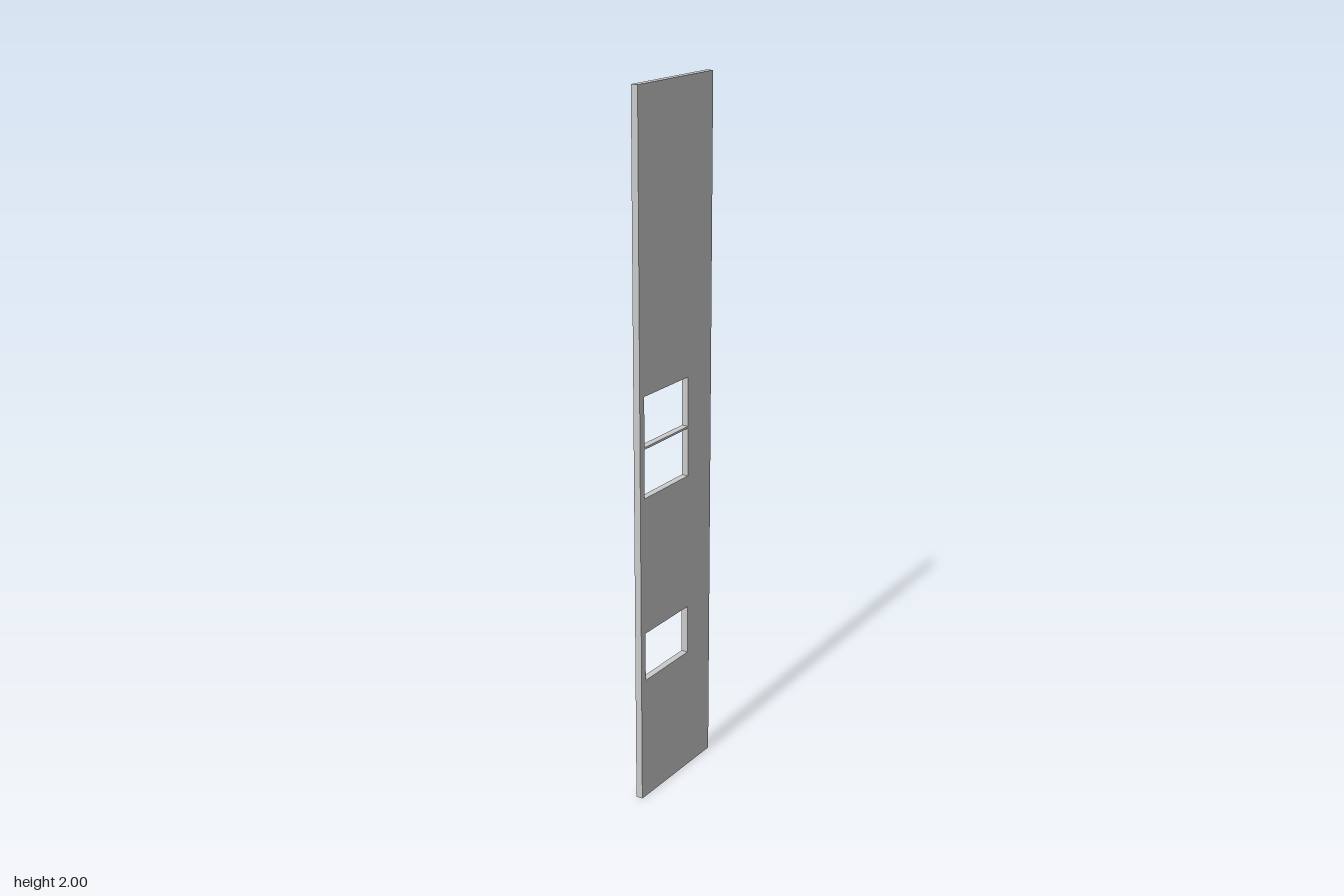
import * as THREE from 'three';

const HALF_WIDTH = 0.176, HEIGHT = 2, THICKNESS = 0.02;

// Adds a closed rectangle to a shape or path
function rect(path, x0, y0, x1, y1) {
  path.moveTo(x0, y0);
  path.lineTo(x1, y0);
  path.lineTo(x1, y1);
  path.lineTo(x0, y1);
  path.closePath();
  return path;
}

export function createModel() {
  const group = new THREE.Group();
  group.name = 'wallPanel';

  // Panel outline, drawn with z across and y up
  const outline = rect(new THREE.Shape(), -HALF_WIDTH, 0, HALF_WIDTH, HEIGHT);

  // Window openings: one low, two stacked with a thin bar between
  for (const [bottom, top] of [[0.364, 0.507], [0.904, 1.043], [1.049, 1.19]]) {
    outline.holes.push(rect(new THREE.Path(), -0.059, bottom, 0.155, top));
  }

  const geometry = new THREE.ExtrudeGeometry(outline, { depth: THICKNESS, bevelEnabled: false });
  geometry.translate(0, 0, -THICKNESS / 2);
  geometry.rotateY(-Math.PI / 2);

  const panel = new THREE.Mesh(geometry, new THREE.MeshStandardMaterial({ color: 0xcccccc }));
  panel.name = 'panelWithOpenings';
  group.add(panel);
  return group;
}
